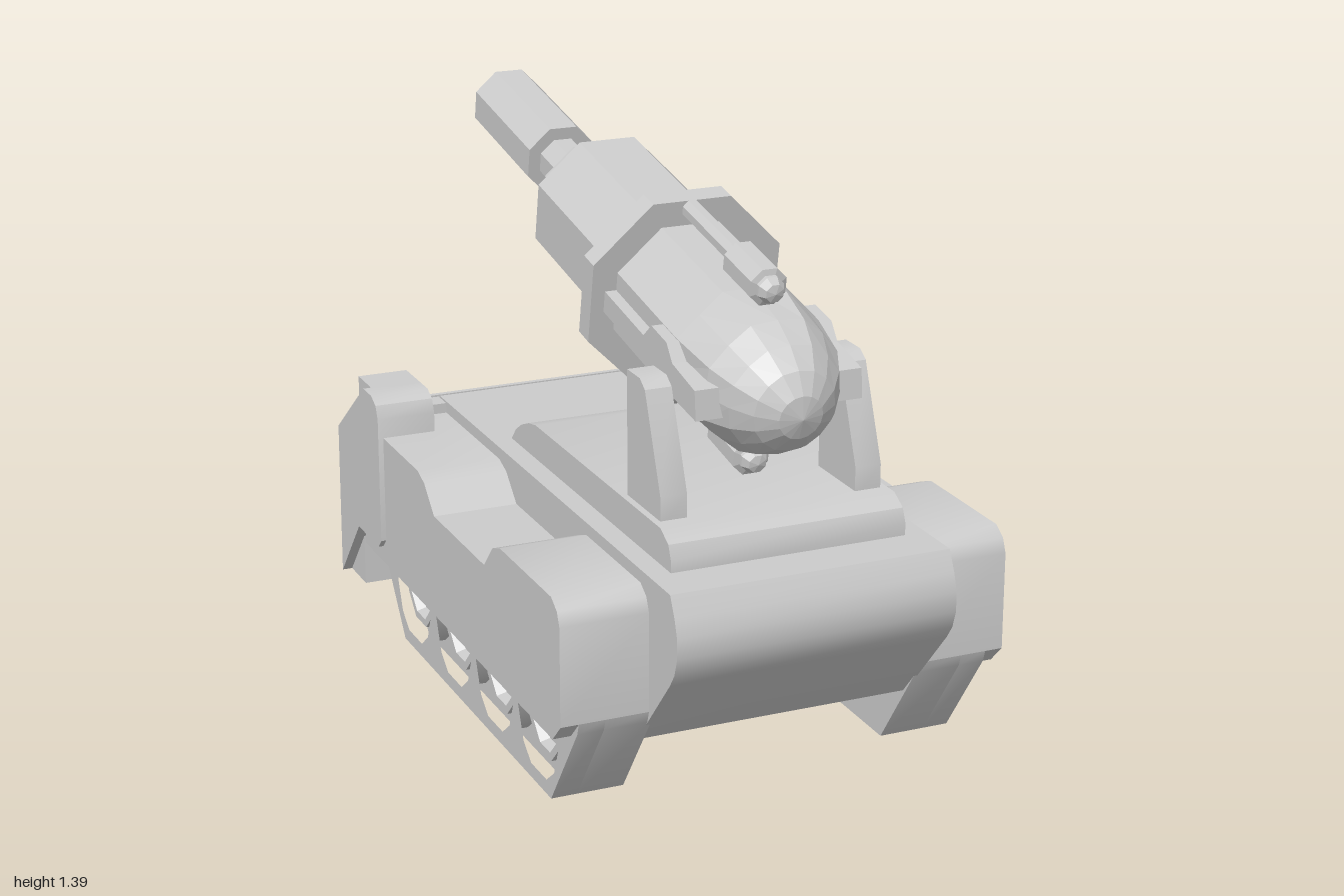
import * as THREE from 'three';
import { toCreasedNormals } from 'three/addons/utils/BufferGeometryUtils.js';

const smooth = new THREE.MeshStandardMaterial({ color: 0xcccccc });
const faceted = new THREE.MeshStandardMaterial({ color: 0xcccccc, flatShading: true });
const OCT = Math.cos(Math.PI / 8);

function add(parent, name, geometry, material = smooth) {
  const mesh = new THREE.Mesh(geometry, material);
  mesh.name = name;
  parent.add(mesh);
  return mesh;
}

const points = (list) => list.map(([a, b]) => new THREE.Vector2(a, b));

function outline(list, hole) {
  const shape = new THREE.Shape(points(list));
  if (hole) shape.holes.push(new THREE.Path(points(hole)));
  return shape;
}

// Side profile of [z, y] points, extruded across x from xa to xb
function slab(parent, name, profile, xa, xb, hole) {
  const geo = new THREE.ExtrudeGeometry(outline(profile, hole), { depth: Math.abs(xb - xa), bevelEnabled: false });
  geo.rotateY(-Math.PI / 2).translate(Math.max(xa, xb), 0, 0);
  return add(parent, name, toCreasedNormals(geo, 0.6));
}

// Rectangular frame in the xy plane with a rectangular opening
function frame(parent, name, [x0, x1, y0, y1], [a0, a1, b0, b1], z0, z1) {
  const rect = (l, r, b, t) => [[l, b], [r, b], [r, t], [l, t]];
  const shape = outline(rect(x0, x1, y0, y1), rect(a0, a1, b0, b1));
  const geo = new THREE.ExtrudeGeometry(shape, { depth: z1 - z0, bevelEnabled: false });
  return add(parent, name, geo.translate(0, 0, z0));
}

function box(parent, name, x0, x1, y0, y1, z0, z1) {
  const geo = new THREE.BoxGeometry(x1 - x0, y1 - y0, z1 - z0);
  return add(parent, name, geo.translate((x0 + x1) / 2, (y0 + y1) / 2, (z0 + z1) / 2));
}

// Eight-sided turned part; profile is [flat-to-axis distance, position along axis]
function turned(parent, name, profile) {
  const geo = new THREE.LatheGeometry(points(profile.map(([r, s]) => [r / OCT, s])), 8, Math.PI / 8);
  return add(parent, name, geo, faceted);
}

function buildHull(tank) {
  slab(tank, 'hull', [[0.96, 0.61], [0.985, 0.56], [1, 0.515], [1, 0.465], [0.985, 0.42], [0.96, 0.385],
    [0.77, 0.17], [-0.64, 0.17], [-0.64, 0.5], [-0.58, 0.61]], -0.36, 0.36);
  slab(tank, 'upperDeck', [[0.84, 0.6], [0.84, 0.64], [0.825, 0.675], [0.78, 0.7], [-0.01, 0.7],
    [-0.06, 0.69], [-0.11, 0.67], [-0.15, 0.645], [-0.19, 0.6]], -0.305, 0.305);
  box(tank, 'rearDeck', -0.44, 0.44, 0.45, 0.605, -0.6, -0.53);

  // Rear plate with a recessed panel and sloped top
  frame(tank, 'rearFrame', [-0.57, 0.57, 0.08, 0.5], [-0.39, 0.39, 0.12, 0.45], -0.75, -0.63);
  box(tank, 'rearPanel', -0.4, 0.4, 0.1, 0.46, -0.69, -0.63);
  slab(tank, 'rearSlope', [[-0.59, 0.61], [-0.605, 0.61], [-0.748, 0.5], [-0.748, 0.46], [-0.59, 0.46]], -0.45, 0.45);
}

function buildSide(tank, side) {
  const label = side > 0 ? 'left' : 'right';
  const group = new THREE.Group();
  group.name = `${label}Side`;
  tank.add(group);

  // Armoured skirt with a dipped top edge
  slab(group, 'skirt', [[0.79, 0.22], [0.84, 0.27], [0.84, 0.52], [0.825, 0.555], [0.79, 0.578], [0.46, 0.578],
    [0.41, 0.56], [0.35, 0.495], [-0.01, 0.495], [-0.08, 0.56], [-0.13, 0.578],
    [-0.575, 0.578], [-0.575, 0.22]], side * 0.35, side * 0.583);

  // Rear corner block and its open bracket
  slab(group, 'rearBlock', [[-0.4, 0.29], [-0.4, 0.63], [-0.415, 0.665], [-0.45, 0.682], [-0.515, 0.682],
    [-0.745, 0.505], [-0.75, 0.08], [-0.59, 0.265], [-0.425, 0.265]], side * 0.44, side * 0.597);
  const [x0, x1] = [0.44, 0.575].map((x) => x * side).sort((a, b) => a - b);
  frame(group, 'bracket', [x0, x1, 0.625, 0.682], [x0 + 0.02, x1 - 0.02, 0.638, 0.668], -0.62, -0.5);

  // Track with a scalloped opening around the wheels
  const wheelZ = [0.58, 0.285, -0.01, -0.315];
  const scallops = wheelZ.flatMap((z) => [[0.138, 0.17], [0.1, 0.075], [0.05, 0.037], [-0.05, 0.037],
    [-0.1, 0.075], [-0.138, 0.17]].map(([dz, y]) => [z + dz, y]));
  const track = [[0.84, 0.27], [0.83, 0.24], [0.66, 0], [-0.4, 0], [-0.57, 0.22], [-0.59, 0.27]];
  slab(group, 'track', track, side * 0.47, side * 0.537, [[0.718, 0.25], ...scallops, [-0.453, 0.25]]);
  slab(group, 'trackInner', track, side * 0.35, side * 0.47);
  for (const z of wheelZ) {
    const wheel = turned(group, 'wheel', [[0.097, 0], [0.097, 0.05], [0.078, 0.05], [0.07, 0.025], [0, 0.025]]);
    wheel.position.set(side * 0.47, 0.175, z);
    wheel.rotation.z = -side * Math.PI / 2;
  }

  // Gun support and pivot
  slab(group, 'gunSupport', [[0.74, 0.68], [0.74, 0.76], [0.65, 0.995], [0.62, 1.015], [0.545, 1.015], [0.545, 0.68]],
    side * 0.22, side * 0.288);
  const pivot = add(group, 'pivot', new THREE.CylinderGeometry(0.035, 0.035, 0.1, 12));
  pivot.position.set(side * 0.2, 0.97, 0.6);
  pivot.rotation.z = Math.PI / 2;
}

// Rounded nose whose 16 sides settle into an octagon where it meets the body
function noseGeometry(radius, length) {
  const profile = [0, 0.04, 0.15, 0.32, 0.55, 1].map((t) => [radius / OCT * Math.sqrt(1 - (1 - t) ** 2), t * length]);
  const geo = new THREE.LatheGeometry(points(profile), 16, Math.PI / 8);
  const pos = geo.attributes.position;
  for (let i = 0; i < pos.count; i++) {
    const column = Math.floor(i / profile.length);
    const k = column % 2 ? 1 - (1 - OCT) * pos.getY(i) / length : 1;
    pos.setX(i, pos.getX(i) * k);
    pos.setZ(i, pos.getZ(i) * k);
  }
  return geo;
}

function buildGun(tank) {
  // Local y runs from nose to muzzle, local z points up
  const gun = new THREE.Group();
  gun.name = 'gun';
  gun.position.set(0, 0.96, 0.9);
  gun.rotation.x = 0.18 - Math.PI / 2;
  tank.add(gun);

  add(gun, 'nose', noseGeometry(0.185, 0.32), faceted);
  turned(gun, 'frontBody', [[0.185, 0.32], [0.185, 0.69]]);
  turned(gun, 'collar', [[0.1, 0.68], [0.25, 0.68], [0.25, 0.74], [0.1, 0.74]]);
  turned(gun, 'rearBody', [[0.183, 0.73], [0.183, 1.214], [0.1, 1.214]]);
  turned(gun, 'taper', [[0.145, 1.21], [0.126, 1.31], [0.083, 1.36], [0, 1.36]]);
  turned(gun, 'barrel', [[0.06, 1.35], [0.06, 1.51]]);
  turned(gun, 'muzzle', [[0, 1.505], [0.093, 1.505], [0.093, 1.915], [0.07, 1.915], [0.07, 1.75], [0, 1.75]]);

  for (const side of [1, -1]) {
    // Small tubes above and below
    const tube = turned(gun, side > 0 ? 'upperTube' : 'lowerTube', [[0, 0.197], [0.022, 0.203], [0.032, 0.225],
      [0.032, 0.235], [0.046, 0.24], [0.046, 0.39], [0.024, 0.39], [0.024, 0.69]]);
    tube.position.z = side * 0.226;

    // Stepped side rails
    const rail = outline([[0.12, -0.035], [0.38, -0.045], [0.43, -0.025], [0.69, -0.025], [0.69, 0.03],
      [0.44, 0.03], [0.4, 0.075], [0.31, 0.075], [0.27, 0.04], [0.14, 0.035]]);
    const geo = new THREE.ExtrudeGeometry(rail, { depth: 0.075, bevelEnabled: false });
    geo.rotateX(Math.PI / 2).rotateY(Math.PI / 2).rotateX(Math.PI / 2);
    // Place the shape's axes along the gun: first axis on y, second on z, depth on x
    geo.computeBoundingBox();
    const fresh = new THREE.ExtrudeGeometry(rail, { depth: 0.075, bevelEnabled: false });
    fresh.applyMatrix4(new THREE.Matrix4().makeBasis(
      new THREE.Vector3(0, 1, 0), new THREE.Vector3(0, 0, 1), new THREE.Vector3(1, 0, 0)));
    fresh.translate(side > 0 ? 0.14 : -0.215, 0, 0);
    add(gun, 'sideRail', fresh);
  }
}

export function createModel() {
  const model = new THREE.Group();
  model.name = 'tank';
  const tank = new THREE.Group();
  tank.name = 'vehicle';
  tank.position.x = -0.006;
  tank.rotation.y = -0.006;
  model.add(tank);
  buildHull(tank);
  for (const side of [1, -1]) buildSide(tank, side);
  buildGun(tank);
  return model;
}
